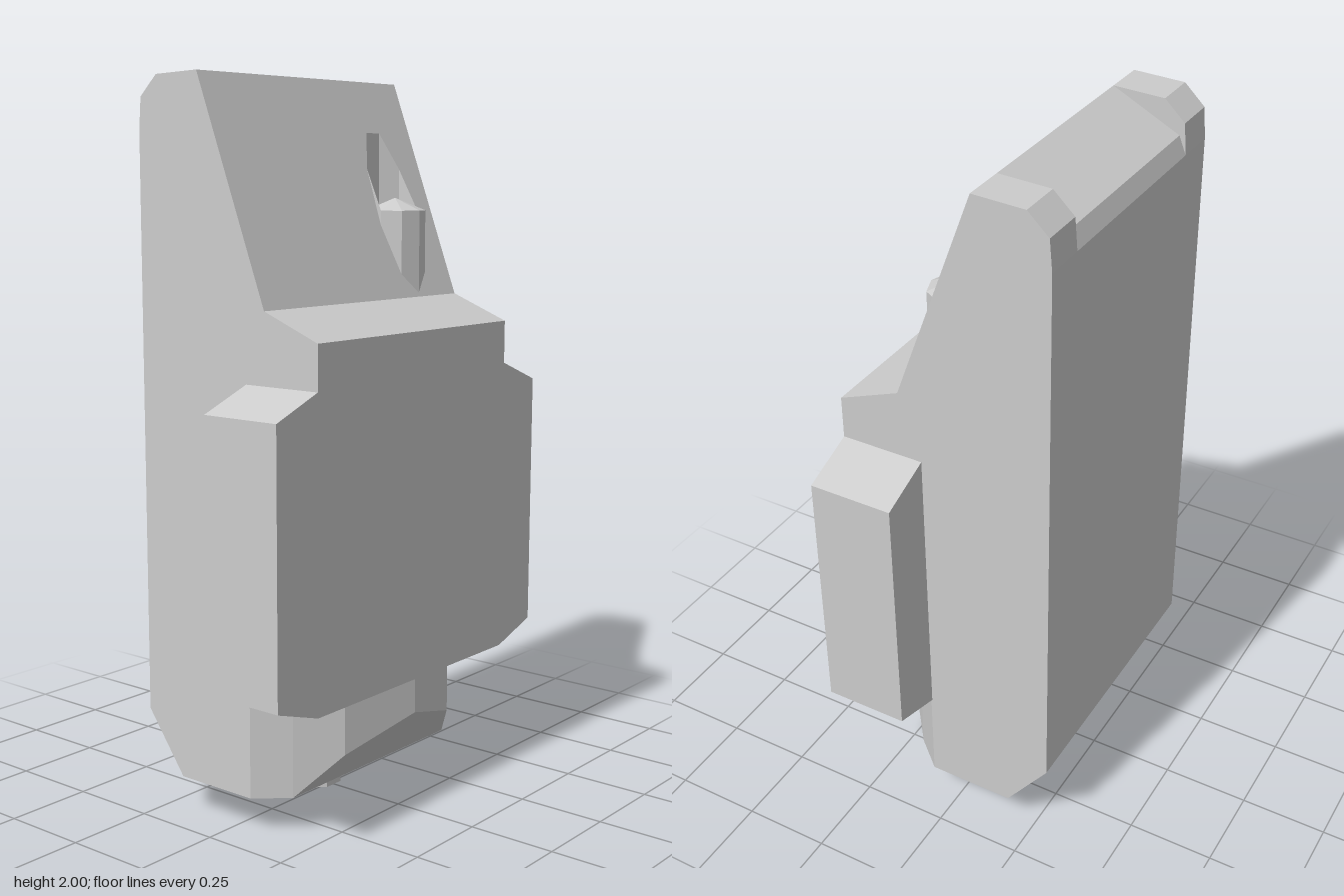
import * as THREE from 'three';
import { ConvexGeometry } from 'three/addons/geometries/ConvexGeometry.js';

const grey = new THREE.MeshStandardMaterial({ color: 0xcccccc, flatShading: true });
const greyDouble = new THREE.MeshStandardMaterial({ color: 0xcccccc, flatShading: true, side: THREE.DoubleSide });

const HALF = 0.415;
const toShape = (pts) => new THREE.Shape(pts.map(([a, b]) => new THREE.Vector2(a, b)));

// Sloping upper front: depth as a function of height, and back again
const slopeZ = (y) => 0.13 - (y - 1.4) * 0.375;
const slopeY = (z) => 1.4 + (0.13 - z) / 0.375;

// Extrudes a (z, y) profile sideways from x0 to x1
function sideways(profile, x0, x1) {
  const geo = new THREE.ExtrudeGeometry(toShape(profile), { depth: x1 - x0, bevelEnabled: false });
  return geo.rotateY(-Math.PI / 2).translate(x1, 0, 0);
}

// Removes the sloping face so a pierced panel can replace it
function withoutSlope(geo) {
  const src = geo.getAttribute('position');
  const kept = [];
  for (let i = 0; i < src.count; i += 3) {
    const tri = [i, i + 1, i + 2];
    const onSlope = tri.every((k) => {
      const y = src.getY(k);
      return y > 1.399 && Math.abs(src.getZ(k) - slopeZ(y)) < 1e-4;
    });
    if (!onSlope) tri.forEach((k) => kept.push(src.getX(k), src.getY(k), src.getZ(k)));
  }
  const out = new THREE.BufferGeometry();
  out.setAttribute('position', new THREE.Float32BufferAttribute(kept, 3));
  out.computeVertexNormals();
  return out;
}

export function createModel() {
  const group = new THREE.Group();
  const add = (name, geo, mat = grey) => {
    const mesh = new THREE.Mesh(geo, mat);
    mesh.name = name;
    group.add(mesh);
    return mesh;
  };

  // Main casing
  const casing = [
    [-0.18, 0.1], [0.07, 0.1], [0.07, 1.21], [0.305, 1.21], [0.305, 1.33], [0.13, 1.4],
    [-0.095, 2], [-0.285, 1.905], [-0.305, 1.855], [-0.305, 0.27],
  ];
  add('casing', withoutSlope(sideways(casing, -HALF, HALF)));

  // Raised ears at the two rear top corners
  const ear = [[-0.095, 2], [-0.24, 1.995], [-0.298, 1.94], [-0.305, 1.855], [-0.285, 1.905]];
  add('leftEar', sideways(ear, 0.295, HALF));
  add('rightEar', sideways(ear, -HALF, -0.295));

  // Wide front plate with clipped corners
  const plate = [
    [-HALF, 0.375], [HALF, 0.375], [0.57, 0.425], [0.57, 1.15],
    [HALF, 1.21], [-HALF, 1.21], [-0.57, 1.15], [-0.57, 0.425],
  ];
  const plateGeo = new THREE.ExtrudeGeometry(toShape(plate), { depth: 0.238, bevelEnabled: false });
  add('frontPlate', plateGeo.translate(0, 0, 0.067));

  // Faceted nose under the plate, cut away along its lower front
  const nose = [];
  for (const [x, z] of [[0, 0.305], [0.235, 0.247], [0.34, 0.155], [HALF, 0.07]]) {
    const low = Math.max(0.1, 0.1 + (z - 0.155) * 1.2);
    for (const s of [-1, 1]) {
      nose.push(new THREE.Vector3(s * x, 0.375, z), new THREE.Vector3(s * x, low, z));
    }
  }
  add('nose', new ConvexGeometry(nose));

  // Eight-sided peg below
  const peg = new THREE.CylinderGeometry(0.078, 0.078, 0.11, 8);
  add('peg', peg.rotateY(Math.PI / 8).translate(0, 0.055, -0.055));

  // Upright knob sunk into the slope
  const sides = 9, r = 0.086, kx = 0.245, kz = 0.04, rim = 1.64;
  const shaft = new THREE.CylinderGeometry(r, r, rim - 1.36, sides, 1, true);
  add('knobShaft', shaft.translate(kx, (rim + 1.36) / 2, kz));
  const cap = new THREE.ConeGeometry(r, 0.035, sides, 1, true);
  add('knobCap', cap.translate(kx, rim + 0.0175, kz));

  // Walls of the socket rising behind the knob up to the slope
  const socket = new THREE.CylinderGeometry(r, r, 1, sides, 1, true).translate(kx, 0, kz);
  const sp = socket.getAttribute('position');
  for (let i = 0; i < sp.count; i++) {
    sp.setY(i, sp.getY(i) > 0 ? Math.max(rim, slopeY(sp.getZ(i))) : rim);
  }
  add('knobSocket', socket, greyDouble);

  // Sloping panel pierced for the knob
  const panel = toShape([[-HALF, 1.4], [HALF, 1.4], [HALF, 2], [-HALF, 2]]);
  const hole = [];
  for (let i = 0; i < sides; i++) {
    const a = (i / sides) * Math.PI * 2;
    hole.push(new THREE.Vector2(kx + r * Math.sin(a), slopeY(kz + r * Math.cos(a))));
  }
  panel.holes.push(new THREE.Path(hole));
  const panelGeo = new THREE.ShapeGeometry(panel);
  const pp = panelGeo.getAttribute('position');
  for (let i = 0; i < pp.count; i++) pp.setZ(i, slopeZ(pp.getY(i)));
  panelGeo.computeVertexNormals();
  add('slopePanel', panelGeo);

  return group;
}
